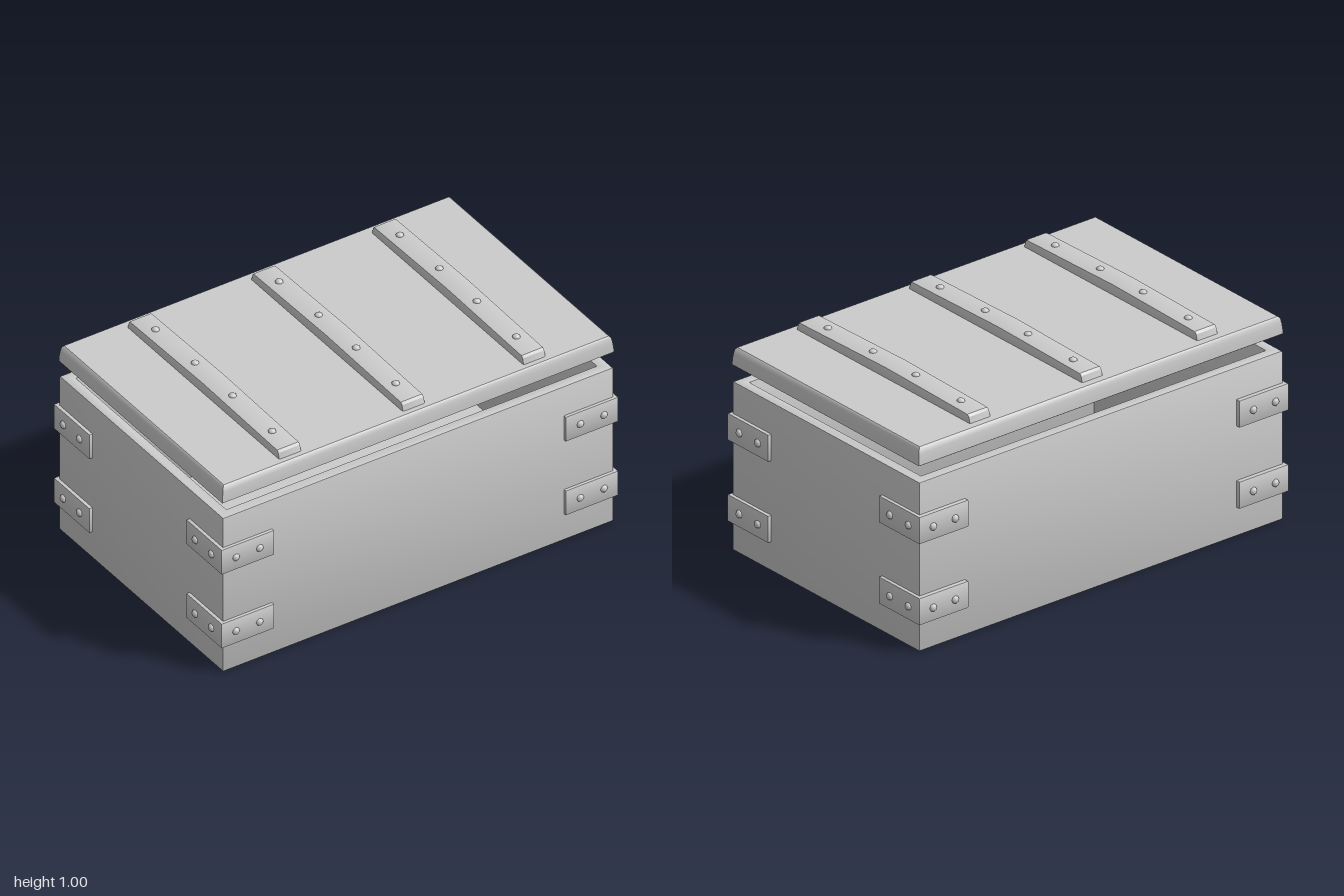
import * as THREE from 'three';
import { toCreasedNormals } from 'three/addons/utils/BufferGeometryUtils.js';

const material = new THREE.MeshStandardMaterial({ color: 0xcccccc });
const CZ = 0.005; // the crate sits slightly forward of centre

function add(parent, name, geometry) {
  const mesh = new THREE.Mesh(geometry, material);
  mesh.name = name;
  parent.add(mesh);
  return mesh;
}

const polygon = (points) => new THREE.Shape(points.map(([x, y]) => new THREE.Vector2(x, y)));
const rect = (hx, hz) => [[-hx, -hz], [hx, -hz], [hx, hz], [-hx, hz]];

// Extrusion with a small inward bevel, keeping the outline's size
function bevelled(shape, depth, bevel) {
  const geometry = new THREE.ExtrudeGeometry(shape, {
    depth: depth - 2 * bevel, bevelThickness: bevel, bevelSize: bevel,
    bevelOffset: -bevel, bevelSegments: 2,
  });
  return toCreasedNormals(geometry.translate(0, 0, bevel), 0.5);
}

// Stacked rectangles [y, halfX, halfZ], closed at both ends
function loft(rings) {
  const positions = [];
  const index = [];
  rings.forEach(([y, hx, hz]) => rect(hx, hz).forEach(([x, z]) => positions.push(x, y, z)));
  for (let r = 0; r < rings.length - 1; r++) {
    for (let i = 0; i < 4; i++) {
      const a = r * 4 + i, b = r * 4 + (i + 1) % 4;
      index.push(a, a + 4, b, b, a + 4, b + 4);
    }
  }
  const t = (rings.length - 1) * 4;
  index.push(0, 1, 2, 0, 2, 3, t, t + 2, t + 1, t, t + 3, t + 2);
  const geometry = new THREE.BufferGeometry();
  geometry.setAttribute('position', new THREE.Float32BufferAttribute(positions, 3));
  geometry.setIndex(index);
  return toCreasedNormals(geometry, 0.6);
}

// Domed rivet pointing along a direction
const rivetGeometry = new THREE.SphereGeometry(0.018, 8, 4, 0, Math.PI * 2, 0, Math.PI / 2);
function addRivet(parent, position, direction) {
  const rivet = add(parent, 'rivet', rivetGeometry);
  rivet.scale.y = 0.8;
  rivet.position.set(...position);
  rivet.quaternion.setFromUnitVectors(new THREE.Vector3(0, 1, 0), new THREE.Vector3(...direction));
}

export function createModel() {
  const model = new THREE.Group();
  model.name = 'crate';

  // Open box: four walls and a floor
  const outline = polygon(rect(0.97, 0.61));
  outline.holes.push(new THREE.Path(rect(0.92, 0.56).map(([x, y]) => new THREE.Vector2(x, y))));
  const walls = add(model, 'walls', bevelled(outline, 0.78, 0.006).rotateX(-Math.PI / 2));
  walls.position.z = CZ;
  const floor = add(model, 'floor', new THREE.BoxGeometry(1.9, 0.05, 1.18));
  floor.position.set(0, 0.026, CZ);

  // Lid with rounded, tapering edges, floating above the box
  const lid = new THREE.Group();
  lid.name = 'lid';
  model.add(lid);
  const panel = add(lid, 'lidPanel', loft([
    [0.855, 0.969, 0.606], [0.859, 0.974, 0.611], [0.885, 0.972, 0.61],
    [0.91, 0.969, 0.607], [0.93, 0.965, 0.603], [0.938, 0.957, 0.596],
  ]));
  panel.position.z = CZ;

  // Three arched straps across the lid
  const strapProfile = polygon([
    [-0.56, 0.93], [0.58, 0.93], [0.57, 0.965], [0.56, 0.975], [0.3, 0.98], [0, 0.986],
    [-0.3, 0.98], [-0.54, 0.975], [-0.55, 0.965],
  ]);
  for (const x of [-0.61, 0.005, 0.605]) {
    const strap = add(lid, 'lidStrap', bevelled(strapProfile, 0.112, 0.008).rotateY(-Math.PI / 2));
    strap.position.x = x + 0.056;
    for (const z of [-0.43, -0.135, 0.145, 0.44]) {
      addRivet(lid, [x, 0.984 - Math.abs(z) * 0.018, z], [0, 1, 0]);
    }
  }

  // L-shaped corner brackets, two on each upright edge
  for (const sx of [-1, 1]) {
    for (const sz of [-1, 1]) {
      const corner = [
        [0.725, 0.6], [0.725, 0.627], [0.986, 0.627], [0.986, 0.362], [0.96, 0.362], [0.96, 0.6],
      ].map(([x, z]) => [sx * x, -sz * z]);
      for (const y of [0.195, 0.57]) {
        const bracket = new THREE.Group();
        bracket.name = 'cornerBracket';
        model.add(bracket);
        const plate = add(bracket, 'bracketPlate', bevelled(polygon(corner), 0.124, 0.003).rotateX(-Math.PI / 2));
        plate.position.set(0, y - 0.062, 0.002);
        for (const x of [0.797, 0.915]) addRivet(bracket, [sx * x, y, sz * 0.627], [0, 0, sz]);
        for (const z of [0.432, 0.553]) addRivet(bracket, [sx * 0.986, y, sz * z], [sx, 0, 0]);
      }
    }
  }
  return model;
}
